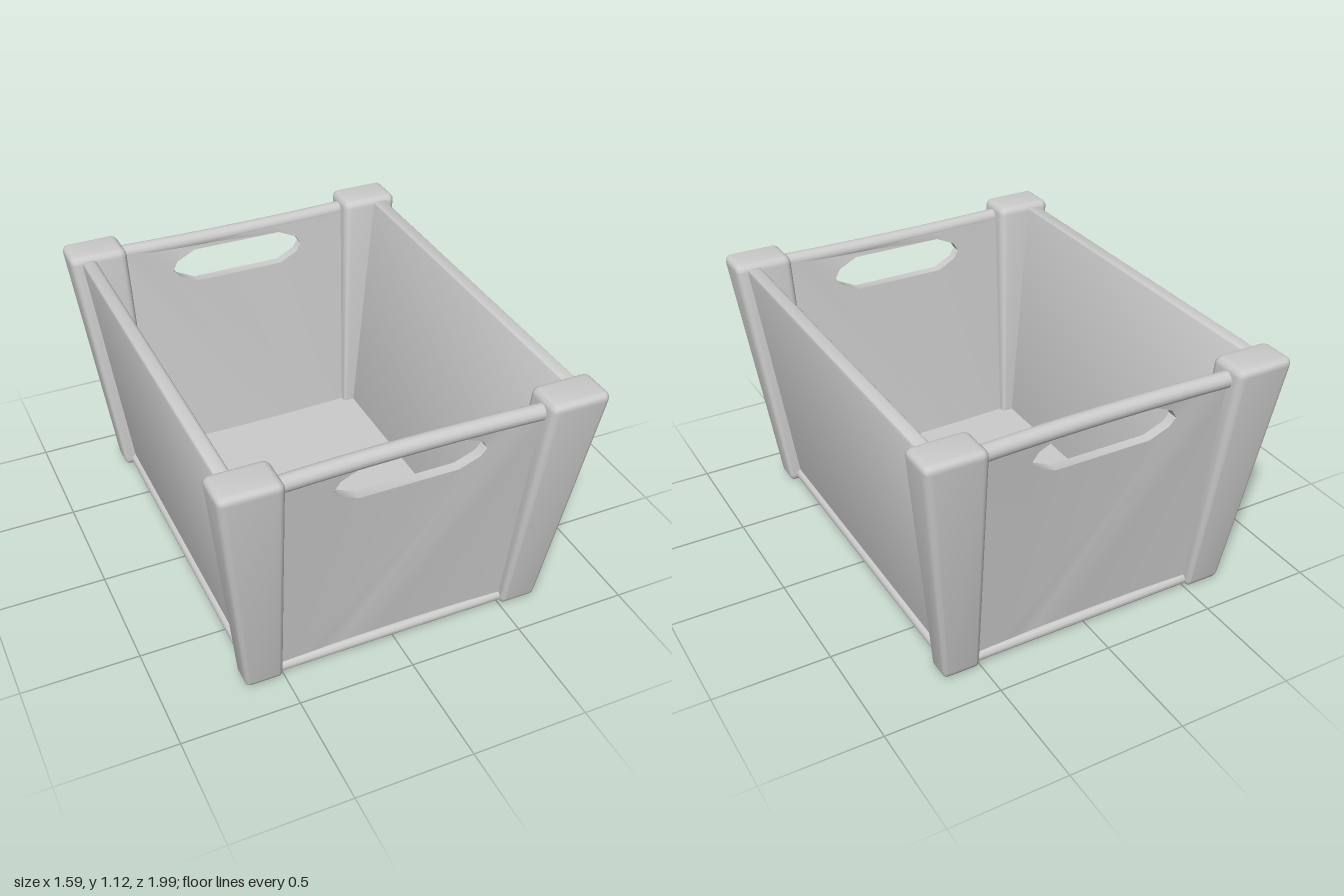
import * as THREE from 'three';
import { mergeVertices, toCreasedNormals } from 'three/addons/utils/BufferGeometryUtils.js';
import { RoundedBoxGeometry } from 'three/addons/geometries/RoundedBoxGeometry.js';

const material = new THREE.MeshStandardMaterial({ color: 0xcccccc });
const lerp = THREE.MathUtils.lerp;

function addMesh(parent, name, geometry) {
  const mesh = new THREE.Mesh(geometry, material);
  mesh.name = name;
  parent.add(mesh);
  return mesh;
}

function smooth(geometry, crease) {
  geometry.deleteAttribute('normal');
  geometry.deleteAttribute('uv');
  return toCreasedNormals(mergeVertices(geometry, 1e-5), crease);
}

// Rounded block whose [x0, x1, z0, z1] extents change from bottom to top
function taperedBlock(low, high, y0, y1, radius) {
  const w = Math.abs(high[1] - high[0]), d = Math.abs(high[3] - high[2]), h = y1 - y0;
  const geometry = new RoundedBoxGeometry(w, h, d, 3, radius);
  const p = geometry.attributes.position;
  for (let i = 0; i < p.count; i++) {
    const u = p.getX(i) / w + 0.5, t = p.getY(i) / h + 0.5, v = p.getZ(i) / d + 0.5;
    const e = low.map((value, k) => lerp(value, high[k], t));
    p.setXYZ(i, lerp(e[0], e[1], u), lerp(y0, y1, t), lerp(e[2], e[3], v));
  }
  return smooth(geometry, 0.7);
}

// Extents mirrored to one corner, kept in rising order
function corner([x0, x1, z0, z1], sx, sz) {
  const x = sx > 0 ? [x0, x1] : [-x1, -x0];
  const z = sz > 0 ? [z0, z1] : [-z1, -z0];
  return [...x, ...z];
}

// End walls bow slightly inward at mid-width
const bow = (x) => -0.014 * (1 - (x / 0.56) ** 2);

function endWallGeometry() {
  const shape = new THREE.Shape();
  const steps = 12;
  for (let i = 0; i <= steps; i++) {
    const x = lerp(-0.53, 0.53, i / steps);
    if (i === 0) shape.moveTo(x, 0.03); else shape.lineTo(x, 0.03);
  }
  for (let i = 0; i <= steps; i++) shape.lineTo(lerp(0.58, -0.58, i / steps), 1.065);

  // Hand hole
  const hole = [
    [-0.21, 0.875], [-0.295, 0.915], [-0.32, 0.95], [-0.295, 0.99], [-0.21, 1.03],
    [0.21, 1.03], [0.295, 0.99], [0.32, 0.95], [0.295, 0.915], [0.21, 0.875],
  ];
  shape.holes.push(new THREE.Path(hole.map(([x, y]) => new THREE.Vector2(x, y))));

  const geometry = new THREE.ExtrudeGeometry(shape, { depth: 0.045, bevelEnabled: false });
  const p = geometry.attributes.position;
  for (let i = 0; i < p.count; i++) {
    p.setZ(i, p.getZ(i) + lerp(0.765, 0.885, p.getY(i) / 1.1) + bow(p.getX(i)));
  }
  return smooth(geometry, 0.6);
}

function rimGeometry() {
  const points = [];
  for (let i = 0; i <= 6; i++) {
    const x = lerp(-0.58, 0.58, i / 6);
    points.push(new THREE.Vector3(x, 1.063, 0.915 + bow(x)));
  }
  return new THREE.TubeGeometry(new THREE.CatmullRomCurve3(points), 16, 0.035, 14);
}

export function createModel() {
  const crate = new THREE.Group();
  crate.name = 'crate';

  // Four flared corner posts
  for (const sx of [-1, 1]) {
    for (const sz of [-1, 1]) {
      const low = corner([0.505, 0.665, 0.735, 0.845], sx, sz);
      const high = corner([0.54, 0.8, 0.82, 1.0], sx, sz);
      addMesh(crate, 'cornerPost', taperedBlock(low, high, 0.005, 1.125, 0.032));
    }
  }

  // Leaning side walls with a rail along the foot
  for (const s of [-1, 1]) {
    const low = corner([0.555, 0.612, -0.77, 0.77], s, 1);
    const high = corner([0.685, 0.75, -0.86, 0.86], s, 1);
    addMesh(crate, 'sideWall', taperedBlock(low, high, 0.025, 1.107, 0.016));
    const rail = corner([0.565, 0.635, -0.76, 0.76], s, 1);
    addMesh(crate, 'sideRail', taperedBlock(rail, rail, 0.01, 0.057, 0.022));
  }

  // End walls with hand hole, rolled rim and foot rail
  for (const s of [-1, 1]) {
    const end = new THREE.Group();
    end.name = s > 0 ? 'frontEnd' : 'backEnd';
    end.rotation.y = s > 0 ? 0 : Math.PI;
    addMesh(end, 'endWall', endWallGeometry());
    addMesh(end, 'rim', rimGeometry());
    const rail = [-0.53, 0.53, 0.765, 0.828];
    addMesh(end, 'endRail', taperedBlock(rail, rail, 0.01, 0.057, 0.022));
    crate.add(end);
  }

  // Floor
  const floor = addMesh(crate, 'floor', new THREE.BoxGeometry(1.14, 0.03, 1.56));
  floor.position.y = 0.037;

  return crate;
}
